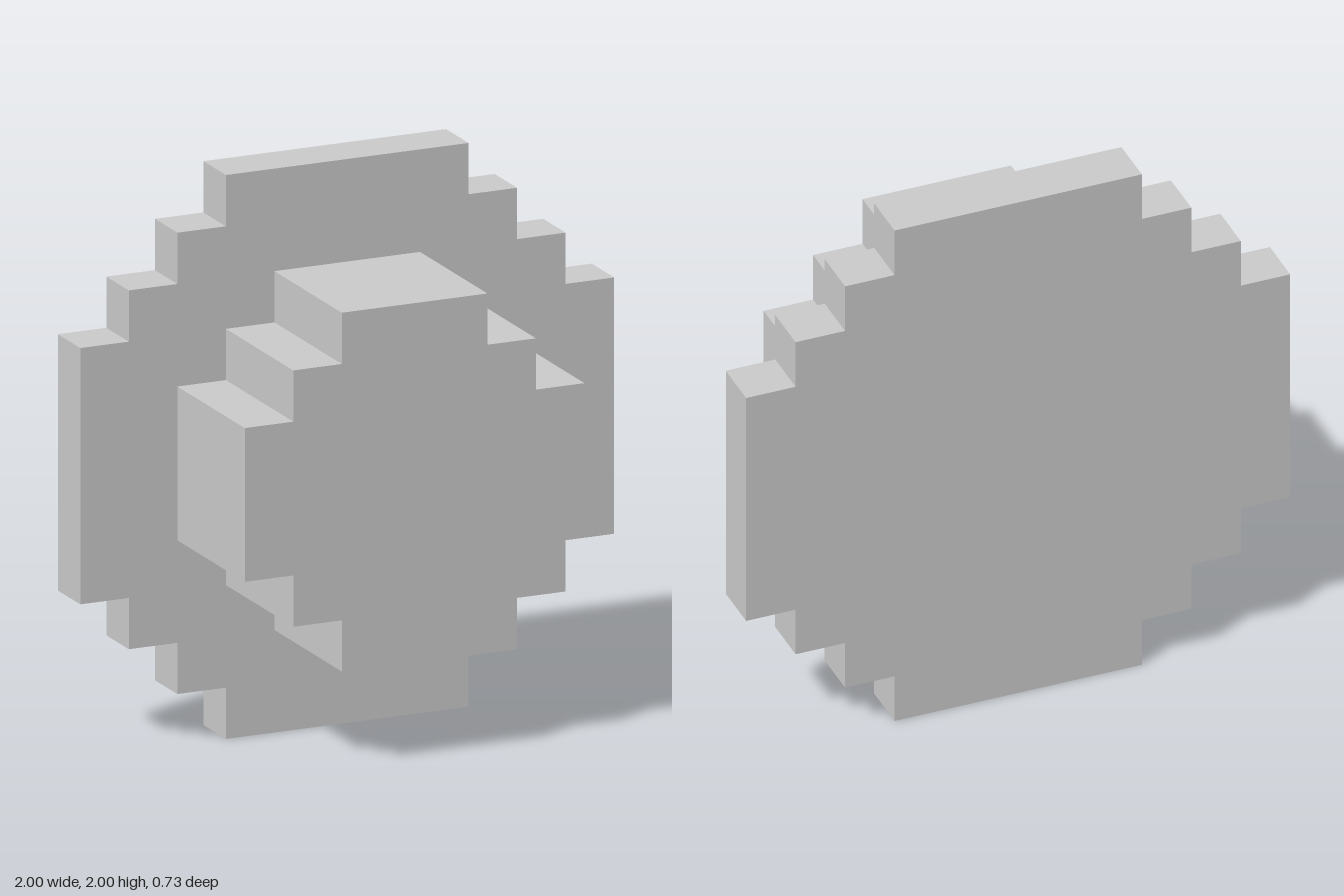
import * as THREE from 'three';

const U = 2 / 11; // one grid step

// Stepped disc outline: one quarter staircase, turned four times
function steppedDisc(name, outer, inner, z0, z1, material) {
  const quarter = [[outer, inner]];
  for (let a = outer, b = inner; a > inner; a--, b++) {
    quarter.push([a - 1, b], [a - 1, b + 1]);
  }
  const points = [];
  for (let q = 0; q < 4; q++) {
    for (const [x, y] of quarter) {
      const [px, py] = [[x, y], [-y, x], [-x, -y], [y, -x]][q];
      points.push(new THREE.Vector2(px * U, py * U));
    }
  }
  const geometry = new THREE.ExtrudeGeometry(new THREE.Shape(points), {
    depth: (z1 - z0) * U,
    bevelEnabled: false,
  });
  geometry.translate(0, 1, z0 * U);
  const mesh = new THREE.Mesh(geometry, material);
  mesh.name = name;
  return mesh;
}

export function createModel() {
  const group = new THREE.Group();
  group.name = 'steppedKnob';
  const material = new THREE.MeshStandardMaterial({ color: 0xcccccc, flatShading: true });

  // Wide thin plate at the back, smaller deep boss in front
  group.add(steppedDisc('backPlate', 5.5, 2.5, -2, -1, material));
  group.add(steppedDisc('frontBoss', 3.5, 1.5, -1, 2, material));
  return group;
}
